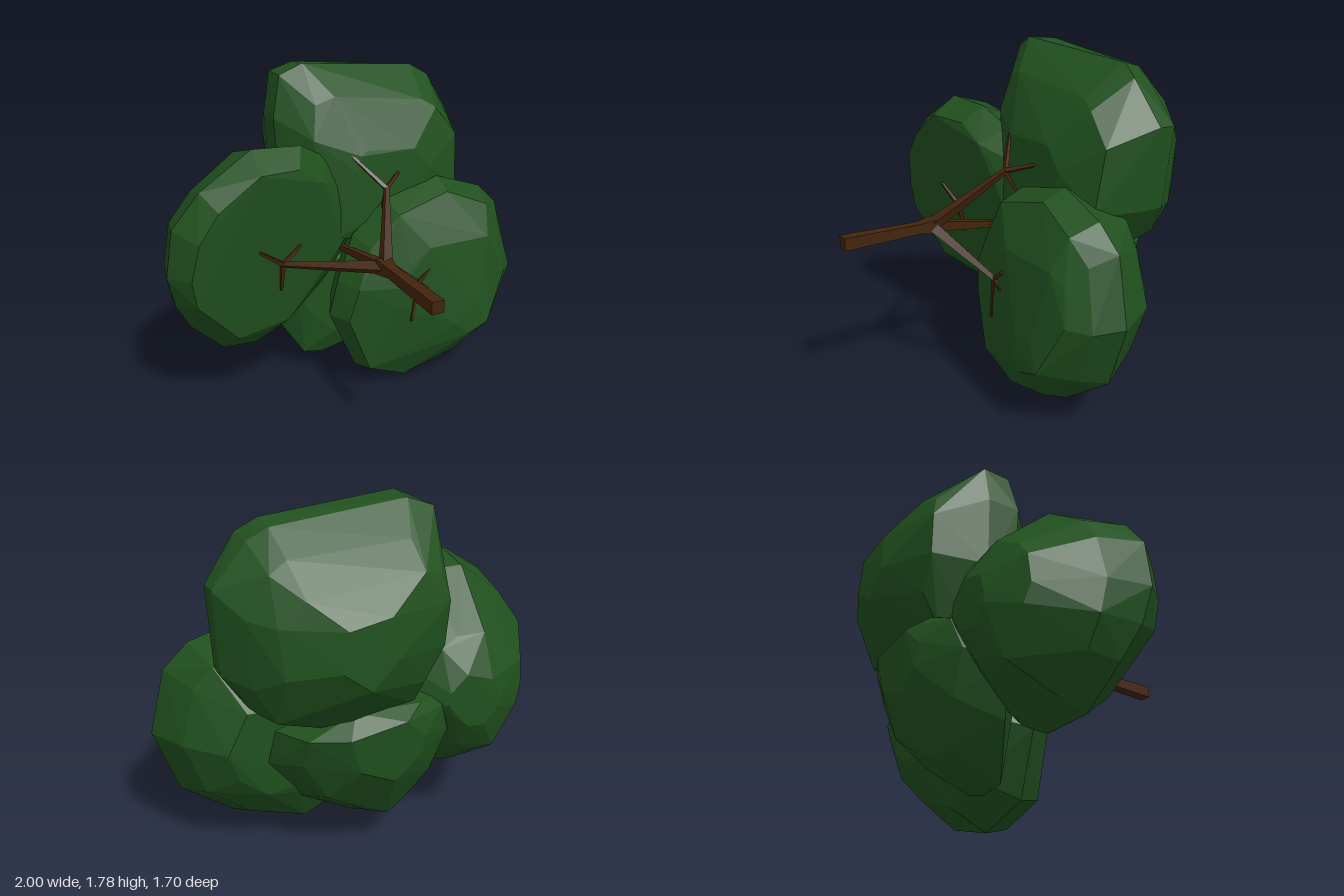
import * as THREE from 'three';
import { ConvexGeometry } from 'three/addons/geometries/ConvexGeometry.js';

const bark = new THREE.MeshStandardMaterial({ color: 0x42240c, flatShading: true });
const leaf = new THREE.MeshStandardMaterial({ color: 0x20501e, flatShading: true });

// Tapered square limb between two points
function limb(name, from, to, r1, r2) {
  const a = new THREE.Vector3(...from), b = new THREE.Vector3(...to);
  const dir = b.clone().sub(a);
  const geo = new THREE.CylinderGeometry(r2, r1, dir.length(), 4, 1, false, Math.PI / 4);
  const mesh = new THREE.Mesh(geo, bark);
  mesh.name = name;
  mesh.position.copy(a).add(b).multiplyScalar(0.5);
  mesh.quaternion.setFromUnitVectors(new THREE.Vector3(0, 1, 0), dir.normalize());
  return mesh;
}

// Faceted leaf mass: an outline repeated as rings [scaleX, scaleY, x, y, z, tiltX, tiltY], then hulled
function foliage(name, [cx, cy], outline, rings) {
  const pts = [];
  rings.forEach(([sx, sy, x, y, z, tx = 0, ty = 0], k) => {
    outline.forEach(([px, py], i) => {
      const wobble = sx === 1 ? 1 : 1 + 0.03 * Math.sin(i * 5 + k * 3);
      const dx = (px - cx) * sx * wobble, dy = (py - cy) * sy * wobble;
      pts.push(new THREE.Vector3(x + dx, y + dy, z + tx * dx + ty * dy + 0.015 * Math.sin(i * 3 + k)));
    });
  });
  const mesh = new THREE.Mesh(new ConvexGeometry(pts), leaf);
  mesh.name = name;
  return mesh;
}

export function createModel() {
  const tree = new THREE.Group();
  tree.name = 'tree';

  // Trunk along z, with a flared fork
  const fork = [-0.03, 0.89, 0.37];
  tree.add(limb('trunk', [-0.03, 0.89, 0.85], [-0.03, 0.89, 0.44], 0.045, 0.036));
  tree.add(limb('fork', [-0.03, 0.89, 0.44], [-0.03, 0.89, 0.34], 0.036, 0.058));

  // Branches, each ending in three twigs
  const branches = [
    { tip: [-0.42, 0.83, -0.01], twigs: [[-0.55, 0.93, 0.02], [-0.31, 0.91, -0.03], [-0.42, 0.67, -0.05]] },
    { tip: [0.27, 0.66, 0.18], twigs: [[0.39, 0.76, 0.17], [0.52, 0.5, 0.18], [0.24, 0.44, 0.18]] },
    { tip: [0.15, 1.17, 0.04], twigs: [[0.01, 1.33, -0.08], [0.29, 1.22, -0.07], [0.17, 1.0, -0.05]] },
    { tip: [-0.03, 0.8, -0.2], twigs: [[-0.37, 1.07, -0.52], [0.15, 0.8, -0.4], [-0.05, 0.6, -0.4]] },
  ];
  for (const { tip, twigs } of branches) {
    const branch = new THREE.Group();
    branch.name = 'branch';
    branch.add(limb('bough', fork, tip, 0.038, 0.016));
    for (const end of twigs) branch.add(limb('twig', tip, end, 0.016, 0.009));
    tree.add(branch);
  }

  // Foliage on the -x side, leaning back at the bottom
  tree.add(foliage('rightFoliage', [-0.45, 0.85],
    [[-1, 0.84], [-0.96, 1.09], [-0.82, 1.27], [-0.54, 1.44], [-0.27, 1.42], [-0.1, 1.32], [0.08, 1.1],
      [0.1, 0.85], [-0.05, 0.6], [-0.32, 0.36], [-0.5, 0.27], [-0.7, 0.31], [-0.88, 0.5], [-0.96, 0.66]],
    [[0.8, 0.8, -0.47, 0.86, -0.03, -0.18, 0.17], [1, 1, -0.45, 0.85, -0.17, -0.14, 0.17],
      [0.88, 0.9, -0.48, 0.83, -0.32, 0, 0.08], [0.52, 0.55, -0.49, 0.8, -0.57], [0.25, 0.25, -0.45, 0.8, -0.66]]));

  // Top foliage
  tree.add(foliage('topFoliage', [0.2, 1.27],
    [[-0.33, 1.52], [-0.28, 1.73], [-0.16, 1.785], [0.52, 1.72], [0.62, 1.66], [0.77, 1.45],
      [0.74, 1.05], [0.6, 0.84], [0.2, 0.74], [-0.2, 0.83], [-0.31, 1.15]],
    [[0.4, 0.4, 0.24, 1.15, -0.06], [0.78, 0.78, 0.24, 1.22, -0.13, 0, -0.12], [1, 1, 0.2, 1.27, -0.35, -0.06],
      [0.97, 0.97, 0.2, 1.27, -0.48], [0.82, 0.82, 0.2, 1.2, -0.62], [0.7, 0.55, 0.14, 1.22, -0.73],
      [0.25, 0.3, 0.18, 1.2, -0.835]]));

  // Foliage on the +x side
  tree.add(foliage('leftFoliage', [0.43, 0.58],
    [[1, 0.62], [0.92, 0.95], [0.79, 1.07], [0.52, 1.16], [0.18, 1.08], [0, 0.9],
      [-0.1, 0.66], [-0.14, 0.45], [0, 0.12], [0.25, 0], [0.6, 0.08], [0.88, 0.29]],
    [[0.2, 0.15, 0.62, 0.39, 0.22], [0.6, 0.5, 0.5, 0.6, 0.165], [0.9, 0.9, 0.43, 0.57, 0.08],
      [1, 1, 0.43, 0.58, -0.05], [0.82, 0.84, 0.43, 0.6, -0.26], [0.45, 0.45, 0.45, 0.6, -0.41]]));

  // Lower back foliage
  tree.add(foliage('backFoliage', [0.05, 0.52],
    [[-0.45, 0.62], [-0.35, 0.35], [-0.2, 0.11], [-0.08, 0.08], [0.05, 0.11], [0.35, 0.3],
      [0.52, 0.55], [0.5, 0.74], [0.2, 0.86], [-0.2, 0.87], [-0.38, 0.82]],
    [[0.6, 0.6, 0.05, 0.5, -0.25], [1, 1, 0.05, 0.52, -0.42, 0, -0.27],
      [0.78, 0.8, 0.05, 0.57, -0.61, 0, -0.2], [0.4, 0.4, 0.05, 0.67, -0.73, 0, -0.05]]));

  return tree;
}
